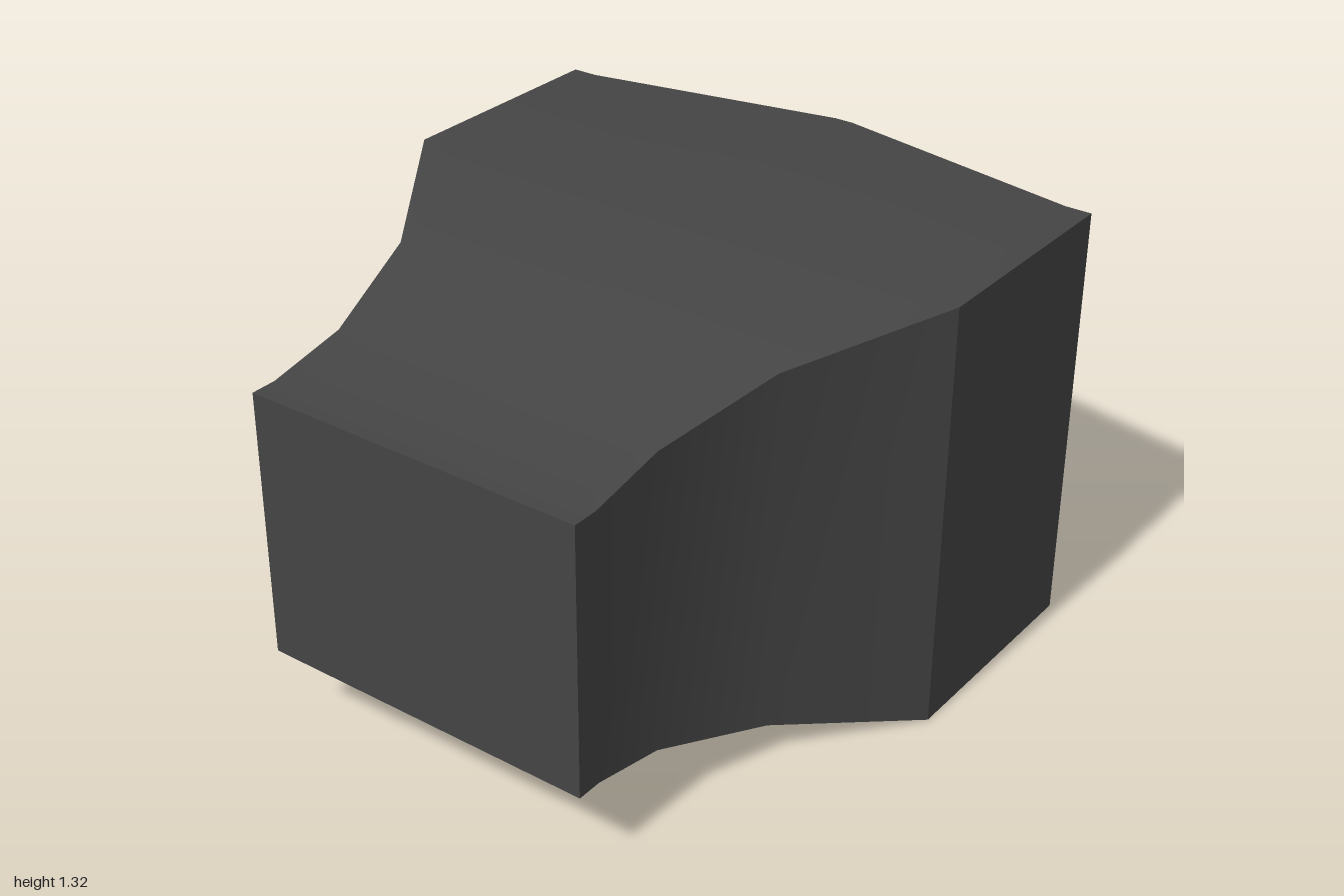
import * as THREE from 'three';
import { mergeVertices, toCreasedNormals } from 'three/addons/utils/BufferGeometryUtils.js';

// Front of the cabinet, gently pointed in plan: depth x for a given z
const frontX = (z) => {
  const a = Math.abs(z);
  if (a >= 0.84) return 0.84;
  if (a <= 0.03) return 0.997;
  return 0.997 - (a - 0.03) / 0.81 * 0.157;
};

// Rectangular ring: top edge from +z to -z, then bottom edge back again
function ring(halfZ, bottom, top, xOf) {
  const cols = [halfZ, Math.min(0.84, halfZ * 0.92), 0.03];
  const zs = [...cols, ...cols.map((z) => -z).reverse()];
  const row = (y) => zs.map((z) => new THREE.Vector3(xOf(z), y, z));
  return [...row(top), ...row(bottom).reverse()];
}

function quad(out, a, b, c, d) {
  for (const p of [a, d, c, a, c, b]) out.push(p.x, p.y, p.z);
}

// Walls between successive rings
function loft(out, rings) {
  for (let i = 0; i < rings.length - 1; i++) {
    const r = rings[i], s = rings[i + 1], n = r.length;
    for (let j = 0; j < n; j++) {
      const k = (j + 1) % n;
      quad(out, r[j], r[k], s[k], s[j]);
    }
  }
}

// Fill a ring with vertical strips
function fill(out, r, flip) {
  const n = r.length;
  for (let j = 0; j < n / 2 - 1; j++) {
    const a = r[j], b = r[j + 1], c = r[n - 2 - j], d = r[n - 1 - j];
    if (flip) quad(out, b, a, d, c);
    else quad(out, a, b, c, d);
  }
}

function toMesh(positions, material, name) {
  const g = new THREE.BufferGeometry();
  g.setAttribute('position', new THREE.Float32BufferAttribute(positions, 3));
  const mesh = new THREE.Mesh(toCreasedNormals(mergeVertices(g), 0.5), material);
  mesh.name = name;
  return mesh;
}

export function createModel() {
  const group = new THREE.Group();
  group.name = 'television';
  const dark = new THREE.MeshStandardMaterial({ color: 0x444444 });
  const grey = new THREE.MeshStandardMaterial({ color: 0xcccccc });

  // Cabinet stations: x, half width, bottom, top
  const rings = [
    [-1, 0.54, 0.25, 1.075],
    [-0.92, 0.54, 0.25, 1.075],
    [-0.67, 0.54, 0.2, 1.125],
    [-0.3, 0.645, 0.106, 1.216],
    [0.115, 0.92, 0, 1.32],
  ].map(([x, w, b, t]) => ring(w, b, t, () => x));

  // Front edge, bezel opening and recessed edge of the screen
  const frontEdge = ring(0.92, 0, 1.32, frontX);
  const opening = ring(0.85, 0.09, 1.23, frontX);
  const screenEdge = ring(0.8, 0.135, 1.19, (z) => frontX(z) - 0.05);

  const cabinet = [];
  loft(cabinet, [...rings, frontEdge]);
  fill(cabinet, rings[0], true);
  group.add(toMesh(cabinet, dark, 'cabinet'));

  const bezel = [];
  loft(bezel, [frontEdge, opening, screenEdge]);
  group.add(toMesh(bezel, dark, 'bezel'));

  const screen = [];
  fill(screen, screenEdge, false);
  group.add(toMesh(screen, grey, 'screen'));

  // Control knobs below the screen
  const knobGeometry = new THREE.CylinderGeometry(0.025, 0.025, 0.05, 16).rotateZ(-Math.PI / 2);
  for (const z of [-0.347, -0.468, -0.59]) {
    const knob = new THREE.Mesh(knobGeometry, dark);
    knob.name = 'knob';
    knob.position.set(frontX(z) - 0.007, 0.045, z);
    group.add(knob);
  }
  return group;
}
